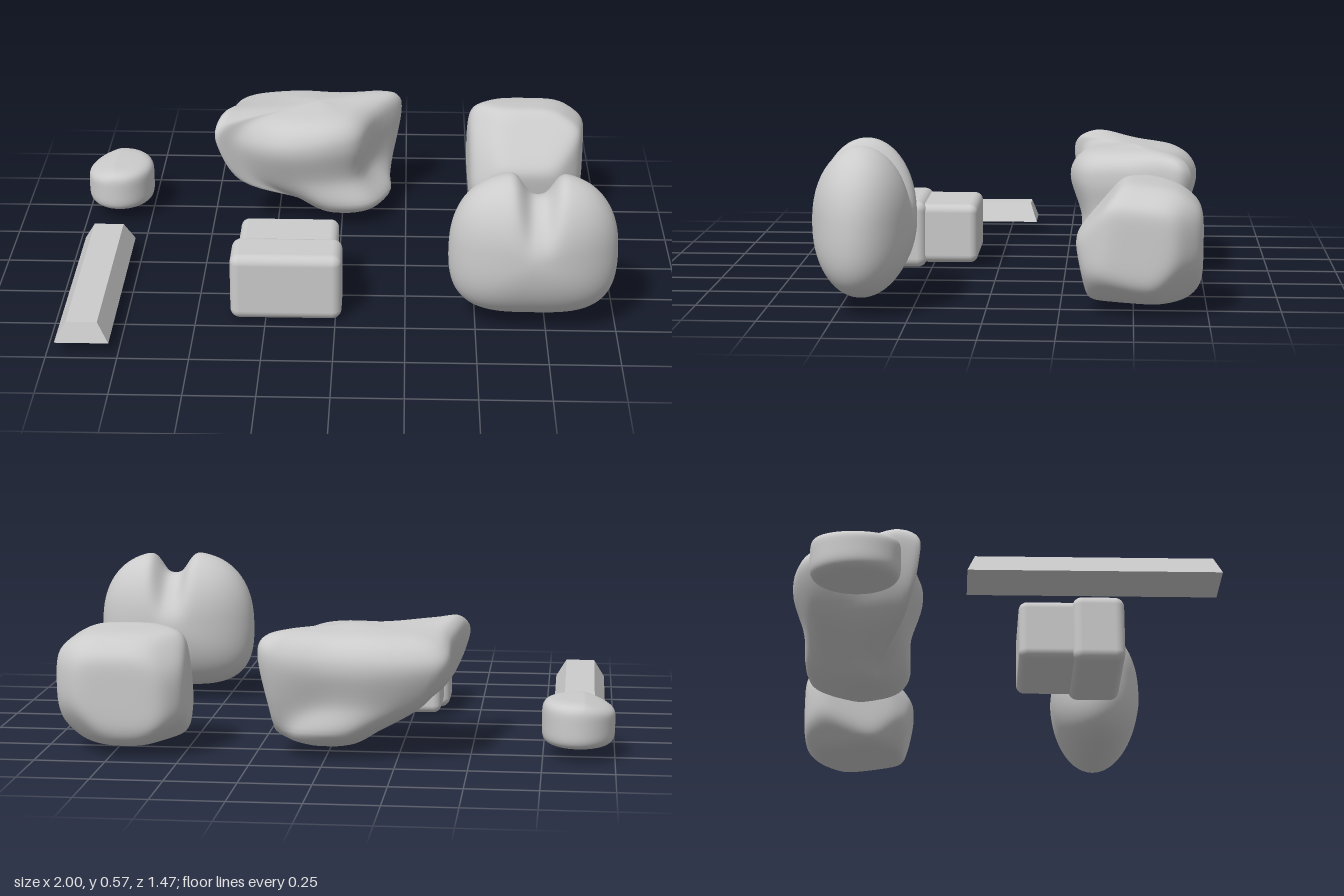
import * as THREE from 'three';
import { mergeVertices } from 'three/addons/utils/BufferGeometryUtils.js';
import { RoundedBoxGeometry } from 'three/addons/geometries/RoundedBoxGeometry.js';

const material = new THREE.MeshStandardMaterial({ color: 0xcccccc });

function part(name, geometry, x = 0, y = 0, z = 0) {
  const mesh = new THREE.Mesh(geometry, material);
  mesh.name = name;
  mesh.position.set(x, y, z);
  return mesh;
}

// Weld vertices so the normals come out smooth
function smooth(geometry) {
  geometry.deleteAttribute('uv');
  geometry.deleteAttribute('normal');
  const welded = mergeVertices(geometry, 1e-5);
  welded.computeVertexNormals();
  return welded;
}

// A smooth ball whose vertices are moved by a rule
function blob(rule) {
  const geometry = new THREE.IcosahedronGeometry(1, 24);
  const pos = geometry.attributes.position;
  const v = new THREE.Vector3();
  for (let i = 0; i < pos.count; i++) {
    rule(v.fromBufferAttribute(pos, i).normalize());
    pos.setXYZ(i, v.x, v.y, v.z);
  }
  return smooth(geometry);
}

// Rounded polyhedron: planes are [nx, ny, nz, distance], power sets edge sharpness
function facetedStone(planes, power) {
  const faces = planes.map(([x, y, z, h]) => new THREE.Vector3(x, y, z).normalize().divideScalar(h));
  return blob((d) => {
    let sum = 0;
    for (const n of faces) sum += Math.max(0, n.dot(d)) ** power;
    d.multiplyScalar(sum ** (-1 / power));
  });
}

// Smooth skin through closed rings of control points, listed bottom to top
function skin(rings, around, up) {
  const loops = rings.map((r) => {
    const curve = new THREE.CatmullRomCurve3(r, true, 'catmullrom', 0.5);
    return Array.from({ length: around }, (_, i) => curve.getPoint(i / around));
  });
  const verts = [], index = [];
  for (let i = 0; i < around; i++) {
    const column = new THREE.CatmullRomCurve3(loops.map((l) => l[i]), false, 'catmullrom', 0.5);
    for (let j = 0; j <= up; j++) verts.push(...column.getPoint(j / up).toArray());
  }
  for (let i = 0; i < around; i++) {
    for (let j = 0; j < up; j++) {
      const a = i * (up + 1) + j, c = ((i + 1) % around) * (up + 1) + j;
      index.push(a, a + 1, c, a + 1, c + 1, c);
    }
  }
  const geometry = new THREE.BufferGeometry();
  geometry.setAttribute('position', new THREE.Float32BufferAttribute(verts, 3));
  geometry.setIndex(index);
  return smooth(geometry);
}

// Long bar with sloping sides
function ingotGeometry() {
  const box = new THREE.BoxGeometry(0.19, 0.07, 0.84).toNonIndexed();
  const pos = box.attributes.position;
  for (let i = 0; i < pos.count; i++) {
    if (pos.getY(i) < 0) continue;
    pos.setX(i, Math.sign(pos.getX(i)) * 0.055);
    pos.setZ(i, Math.sign(pos.getZ(i)) * 0.395);
  }
  box.computeVertexNormals();
  return box;
}

// Large rock: narrow foot flaring to a rim with two horns
function hornedRockGeometry() {
  const rim = [
    [0.225, -0.64, 0.37], [0.13, -0.5, 0.35], [0.07, -0.34, 0.34], [-0.03, -0.28, 0.34],
    [-0.17, -0.265, 0.33], [-0.3, -0.285, 0.33], [-0.4, -0.295, 0.35], [-0.475, -0.275, 0.38],
    [-0.465, -0.36, 0.41], [-0.43, -0.5, 0.38], [-0.42, -0.66, 0.34], [-0.33, -0.715, 0.33],
    [-0.18, -0.735, 0.33], [0, -0.715, 0.33], [0.13, -0.715, 0.34], [0.2, -0.7, 0.36],
  ];
  const cx = -0.09, cz = -0.5;
  const oval = (x, y, z, rx, rz) => rim.map((p) => {
    const a = Math.atan2(p[1] - cz, p[0] - cx);
    return new THREE.Vector3(x + rx * Math.cos(a), y, z + rz * Math.sin(a));
  });
  // Rim scaled about the middle, its height drawn towards a flat level
  const scaledRim = (f, lift, flatness, level, shift = 0) => rim.map((p) => new THREE.Vector3(
    cx + shift + (p[0] - cx) * f,
    THREE.MathUtils.lerp(p[2] + lift, level, flatness),
    cz + (p[1] - cz) * f,
  ));
  return skin([
    oval(0, 0.035, -0.48, 0, 0),
    oval(0, 0.045, -0.48, 0.1, 0.09),
    oval(0, 0.1, -0.5, 0.19, 0.19),
    scaledRim(0.83, 0, 1, 0.21, 0.025),
    scaledRim(1, 0, 0, 0),
    scaledRim(0.95, 0.07, 0, 0),
    scaledRim(0.72, 0.09, 0.6, 0.465),
    scaledRim(0.3, 0.07, 0.95, 0.47),
    scaledRim(0, 0, 1, 0.475),
  ], 72, 48);
}

// Two-lobed nugget: squarish below, notched on top, with a valley down the back
function lobedNuggetGeometry() {
  return blob((d) => {
    const p = d.y > 0 ? 2.6 : 3.3;
    const box = (Math.abs(d.x) ** p + Math.abs(d.y) ** p) ** (1 / p);
    const k = box > 0 ? Math.hypot(d.x, d.y) / box : 1;
    d.set(d.x * k * 0.3, d.y * k * 0.264, d.z * 0.177);
    const groove = Math.exp(-(Math.abs((d.x - 0.012) / 0.065) ** 3));
    const high = THREE.MathUtils.smoothstep(d.y, -0.05, 0.25);
    d.z *= 1 - (d.z < 0 ? 0.16 : 0.05) * groove * high;
    d.y -= 0.085 * groove * high;
    d.x *= 1 - 0.06 * high;
  });
}

export function createModel() {
  const group = new THREE.Group();
  group.name = 'oreCollection';

  group.add(part('ingot', ingotGeometry(), -0.875, 0.095, 0.31));

  // Flat oval pebble, its top cut lower on one side
  group.add(part('pebble', blob((d) => {
    const p = 5;
    d.multiplyScalar((Math.hypot(d.x, d.z) ** p + Math.abs(d.y) ** p) ** (-1 / p));
    d.set(d.x * 0.127, d.y * 0.083, d.z * 0.152);
    if (d.y > 0) d.y *= 1 + 0.4 * Math.min(0, d.x + 0.02) / 0.127;
  }), -0.872, 0.14, -0.482));

  group.add(part('hornedRock', hornedRockGeometry()));

  // Two rounded blocks fused together
  const brick = new THREE.Group();
  brick.name = 'doubleBrick';
  brick.add(
    part('frontBlock', new RoundedBoxGeometry(0.4, 0.25, 0.186, 4, 0.035), -0.178, 0.138, 0.364),
    part('backBlock', new RoundedBoxGeometry(0.36, 0.22, 0.25, 4, 0.03), -0.176, 0.14, 0.205),
  );
  group.add(brick);

  group.add(part('lobedNugget', lobedNuggetGeometry(), 0.7, 0.322, 0.418));

  // Blocky stone with sloping upper front and blunted edges and corners
  group.add(part('blockyStone', facetedStone([
    [-1, 0, 0.05, 0.22], [1, 0, 0.1, 0.228], [0, 0, -1, 0.214], [0, -0.2, 1, 0.215],
    [0, 1, -0.1, 0.205], [0, -1, 0, 0.205], [0, 0.64, 0.77, 0.18], [0.7, 0.1, 0.8, 0.24],
    [-0.7, 0.3, 0.8, 0.225], [0.6, -0.8, 0.2, 0.24], [0.5, 0.8, 0, 0.24], [-0.6, -0.7, -0.3, 0.25],
    [0, 0.75, -0.65, 0.235], [0, -0.7, -0.7, 0.26], [0.7, 0, -0.7, 0.255], [-0.7, 0, -0.7, 0.26],
    [1, 1, -1, 0.275], [-1, 1, -1, 0.255], [1, -1, -1, 0.245], [1, -1, 1, 0.265],
    [-1, -1, 1, 0.27], [-1, 1, 1, 0.215],
  ], 16), 0.71, 0.25, -0.52));

  return group;
}
